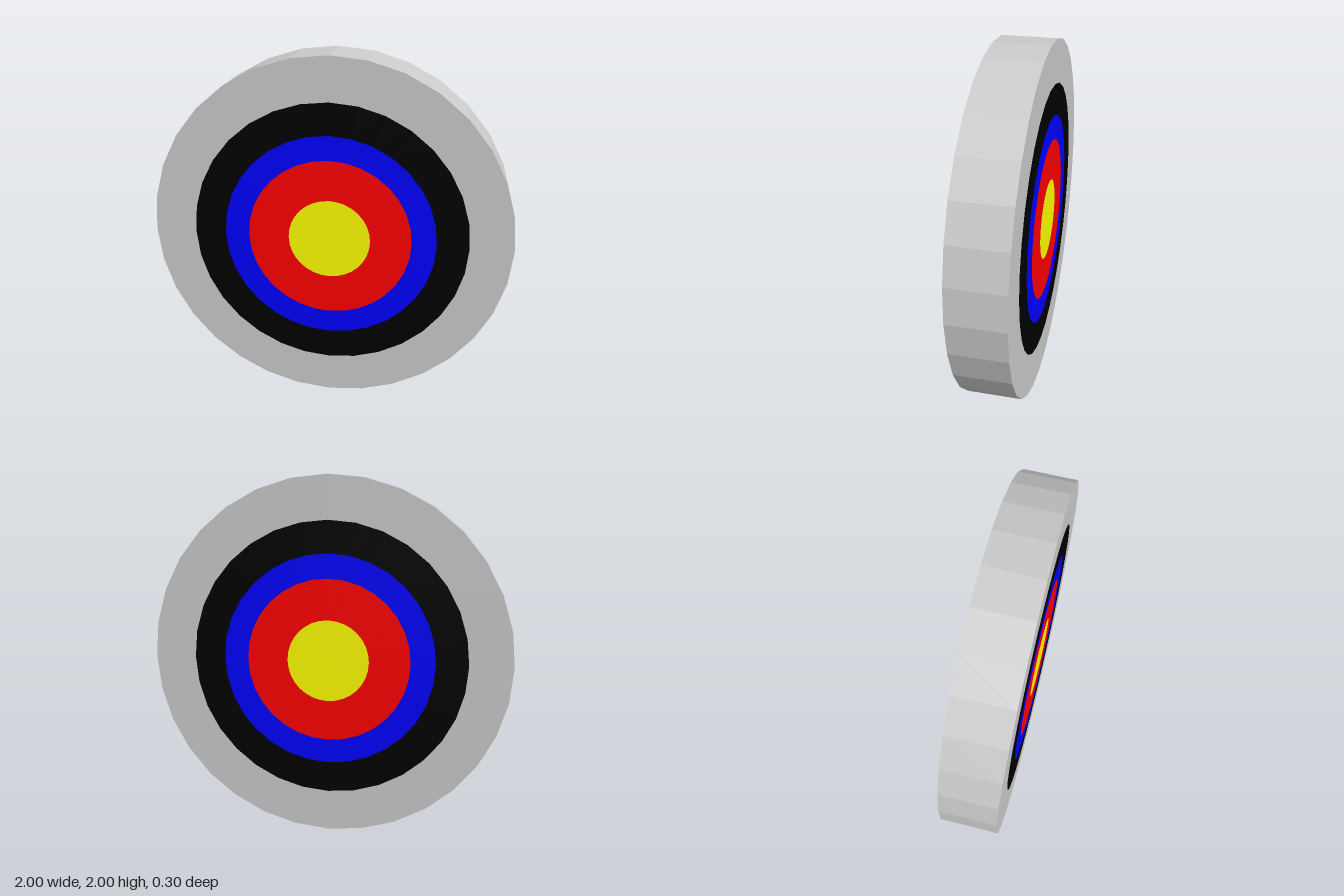
import * as THREE from 'three';

const SIDES = 32;
const HALF_DEPTH = 0.15;

// Flush colour bands of each face: name, inner radius, outer radius, colour
const BANDS = [
  ['outerBand', 0.765, 1, 0xcccccc],
  ['blackBand', 0.59, 0.765, 0x000000],
  ['blueBand', 0.455, 0.59, 0x0000ff],
  ['redBand', 0.228, 0.455, 0xff0000],
  ['bullseye', 0, 0.228, 0xffff00],
];

function part(name, geometry, color) {
  const material = new THREE.MeshStandardMaterial({ color, flatShading: true });
  const mesh = new THREE.Mesh(geometry, material);
  mesh.name = name;
  return mesh;
}

// One flat target face looking along +z
function createFace(name) {
  const face = new THREE.Group();
  face.name = name;
  for (const [bandName, inner, outer, color] of BANDS) {
    const geometry = inner > 0
      ? new THREE.RingGeometry(inner, outer, SIDES)
      : new THREE.CircleGeometry(outer, SIDES);
    face.add(part(bandName, geometry, color));
  }
  return face;
}

export function createModel() {
  const target = new THREE.Group();
  target.name = 'target';

  // Faceted outer wall of the disc
  const wall = new THREE.CylinderGeometry(1, 1, 2 * HALF_DEPTH, SIDES, 1, true);
  wall.rotateX(Math.PI / 2);
  const rim = part('rim', wall, 0xcccccc);
  rim.position.y = 1;
  target.add(rim);

  // Matching faces on front and back
  const front = createFace('frontFace');
  front.position.set(0, 1, HALF_DEPTH);
  const back = createFace('backFace');
  back.position.set(0, 1, -HALF_DEPTH);
  back.rotation.y = Math.PI;
  target.add(front, back);

  return target;
}
